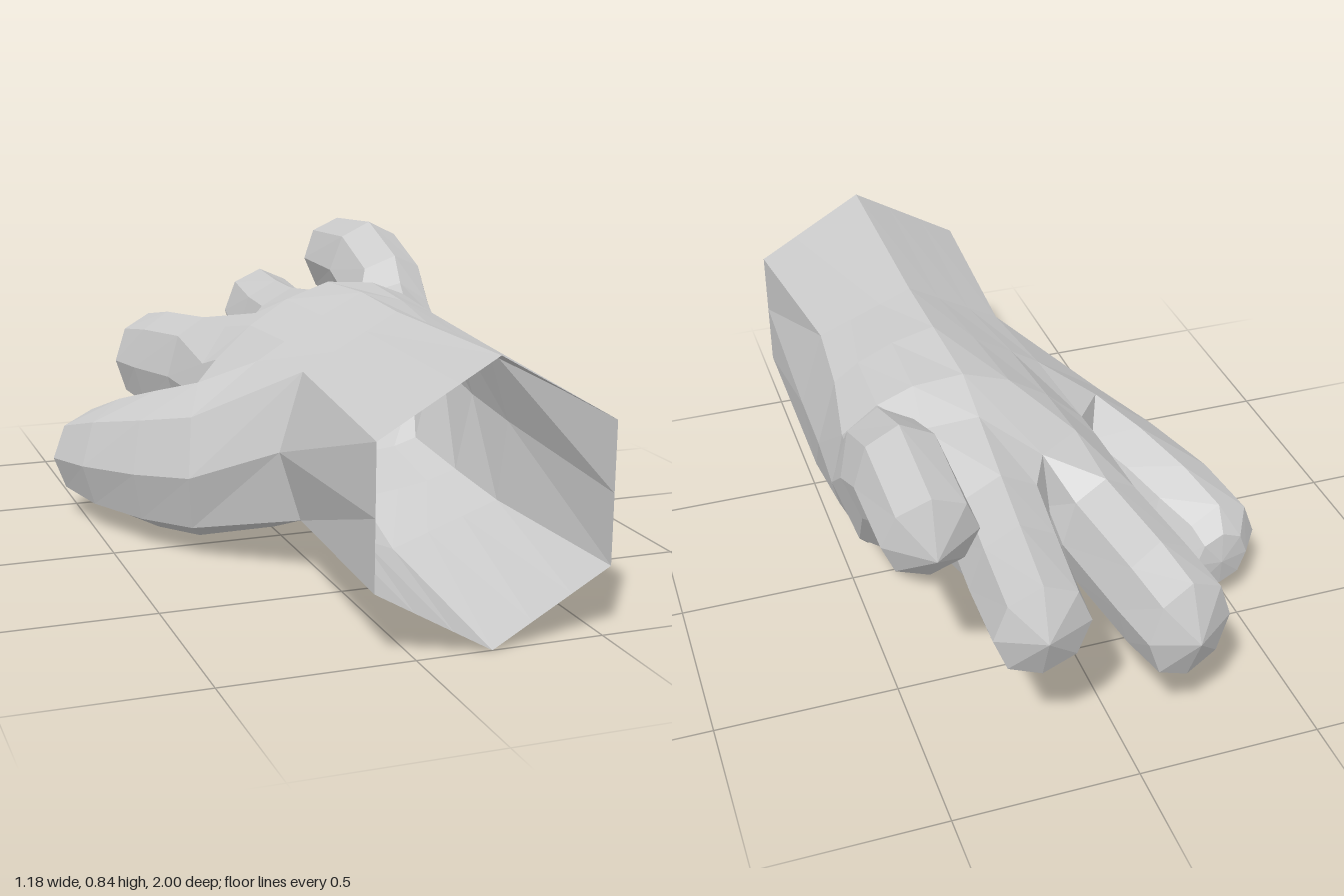
import * as THREE from 'three';

const material = new THREE.MeshStandardMaterial({
  color: 0xcccccc, flatShading: true, side: THREE.DoubleSide,
});
const P = (x, y, z) => new THREE.Vector3(x, y, z);

// Skins a list of equal rings; skip(row, column) leaves openings, tip closes the end
function loft(name, rings, { skip = () => false, tip = null } = {}) {
  const pts = [];
  rings.forEach((ring, r) => {
    const next = rings[r + 1];
    ring.forEach((a, i) => {
      const j = (i + 1) % ring.length;
      if (next) {
        if (!skip(r, i)) pts.push(a, ring[j], next[i], ring[j], next[j], next[i]);
      } else if (tip) pts.push(a, ring[j], tip);
    });
  });
  const geometry = new THREE.BufferGeometry().setFromPoints(pts);
  geometry.computeVertexNormals();
  const mesh = new THREE.Mesh(geometry, material);
  mesh.name = name;
  return mesh;
}

// Eight-sided ring, clockwise from its upper left; yaw turns it, tilt leans it
function oval([x, y, z, rx, ry, yaw = 0, tilt = 0]) {
  const u = P(Math.cos(yaw), 0, Math.sin(yaw));
  const v = P(0, Math.cos(tilt), Math.sin(tilt));
  return Array.from({ length: 8 }, (_, i) => {
    const a = (135 - 45 * i) * Math.PI / 180;
    return P(x, y, z).addScaledVector(u, rx * Math.cos(a)).addScaledVector(v, ry * Math.sin(a));
  });
}

// A digit grows from a ring of palm points through ovals to a blunt tip
function digit(name, base, ovals, tip) {
  return loft(name, [base, ...ovals.map(oval)], { tip: P(...tip) });
}

const section = (z, xy) => xy.map(([x, y]) => P(x, y, z));

// Forearm section: flat roof and floor faces, each split in three
function forearmSection(z, leftTop, ridge, rightTop, rightMid, rightLow, keel, leftLow, leftMid) {
  const split = ([ax, ay], [bx, by]) => [0, 1, 2].map((i) => [ax + (bx - ax) * i / 3, ay + (by - ay) * i / 3]);
  return section(z, [
    ...split(leftTop, ridge), ...split(ridge, rightTop), rightTop, rightMid,
    ...split(rightLow, keel), ...split(keel, leftLow), leftLow, leftMid]);
}

export function createModel() {
  const group = new THREE.Group();
  group.name = 'hand';

  // Sections: seven points over the top, right side, seven underneath, left side
  const cuff = forearmSection(1, [-0.11, 0.55], [0.2, 0.73], [0.515, 0.55], [0.515, 0.365],
    [0.515, 0.18], [0.2, 0], [-0.11, 0.18], [-0.11, 0.365]);
  const wrist = forearmSection(0.37, [-0.065, 0.575], [0.2, 0.72], [0.47, 0.61], [0.54, 0.39],
    [0.513, 0.165], [0.2, 0.055], [-0.07, 0.165], [-0.13, 0.36]);
  const heel = section(0.12, [
    [-0.11, 0.555], [-0.03, 0.605], [0.08, 0.67], [0.2, 0.73], [0.32, 0.7], [0.42, 0.655], [0.49, 0.605],
    [0.548, 0.41],
    [0.5, 0.188], [0.41, 0.16], [0.32, 0.145], [0.2, 0.13], [0.1, 0.11], [0, 0.085], [-0.06, 0.07],
    [-0.14, 0.33]]);
  const palm = section(-0.13, [
    [-0.155, 0.51], [-0.05, 0.605], [0.06, 0.675], [0.19, 0.72], [0.33, 0.71], [0.43, 0.67], [0.53, 0.595],
    [0.565, 0.44],
    [0.48, 0.222], [0.41, 0.2], [0.32, 0.19], [0.2, 0.185], [0.08, 0.175], [-0.03, 0.145], [-0.1, 0.12],
    [-0.19, 0.37]]);
  const knuckles = [
    [-0.175, 0.485, -0.2], [-0.08, 0.575, -0.28], [0.05, 0.59, -0.38], [0.19, 0.67, -0.27],
    [0.34, 0.65, -0.25], [0.45, 0.69, -0.2], [0.54, 0.63, -0.2],
    [0.58, 0.5, -0.2],
    [0.53, 0.35, -0.27], [0.45, 0.31, -0.3], [0.35, 0.33, -0.33], [0.2, 0.23, -0.35],
    [0.04, 0.25, -0.37], [-0.07, 0.19, -0.32], [-0.15, 0.26, -0.25],
    [-0.2, 0.39, -0.25]].map((p) => P(...p));

  // Hollow forearm and palm, left open where the thumb joins
  group.add(loft('wristAndPalm', [cuff, wrist, heel, palm, knuckles], {
    skip: (row, i) => (row === 1 || row === 2) && i >= 14,
  }));

  // Finger bases share the knuckle points and the webs between them
  const k = knuckles;
  const webA = P(0.05, 0.45, -0.42), webB = P(0.34, 0.5, -0.36);

  group.add(digit('indexFinger', [k[0], k[1], k[2], webA, k[12], k[13], k[14], k[15]], [
    [-0.083, 0.385, -0.5, 0.122, 0.178, -0.1],
    [-0.13, 0.365, -0.76, 0.122, 0.172, -0.2],
    [-0.157, 0.36, -0.905, 0.122, 0.147, -0.2],
  ], [-0.16, 0.36, -0.97]));

  group.add(digit('middleFinger', [k[2], k[3], k[4], webB, k[10], k[11], k[12], webA], [
    [0.205, 0.46, -0.5, 0.137, 0.18],
    [0.222, 0.46, -0.7, 0.132, 0.17],
    [0.245, 0.495, -0.94, 0.125, 0.135],
  ], [0.25, 0.5, -1]));

  group.add(digit('littleFinger', [k[4], k[5], k[6], k[7], k[8], k[9], k[10], webB], [
    [0.463, 0.625, -0.36, 0.125, 0.16, 0, 0.55],
    [0.46, 0.69, -0.5, 0.125, 0.15, 0, 0.1],
    [0.462, 0.69, -0.755, 0.122, 0.127, 0, -0.15],
  ], [0.465, 0.665, -0.82]));

  // Thumb grows out of the opening in the side of the palm
  group.add(digit('thumb', [
    wrist[0], heel[0], palm[0], palm[15], palm[14], heel[14], wrist[14], wrist[15],
  ], [
    [-0.25, 0.255, 0.01, 0.195, 0.225, -1.15],
    [-0.335, 0.228, -0.125, 0.17, 0.205, -0.9],
    [-0.41, 0.205, -0.275, 0.152, 0.175, -0.52],
    [-0.465, 0.187, -0.405, 0.128, 0.135, -0.2],
    [-0.455, 0.18, -0.465, 0.08, 0.085, -0.1],
  ], [-0.45, 0.18, -0.48]));

  return group;
}
